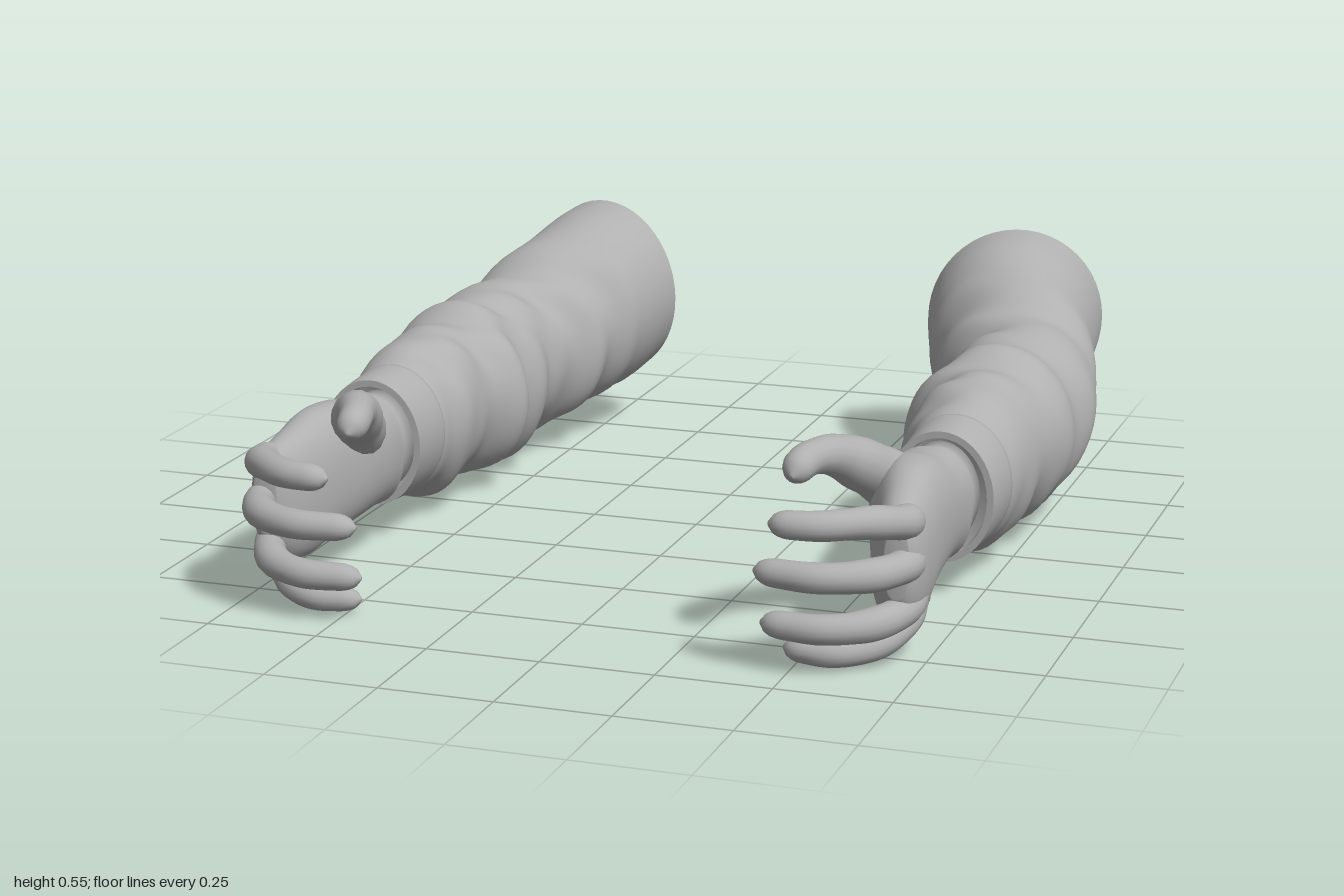
import * as THREE from 'three';

const V = (x, y, z) => new THREE.Vector3(x, y, z);
const grey = new THREE.MeshStandardMaterial({ color: 0xb0b0b0 });
grey.name = 'grey';

// Skin closed rings of points into one smooth, capped surface.
// A ring listed twice makes a sharp edge.
function loft(rings) {
  const n = rings[0].length, pos = [], idx = [];
  rings.forEach(r => r.forEach(p => pos.push(p.x, p.y, p.z)));
  for (let i = 0; i < rings.length - 1; i++) {
    for (let j = 0; j < n; j++) {
      const k = (j + 1) % n, a = i * n + j, b = i * n + k;
      idx.push(a, b, a + n, b, b + n, a + n);
    }
  }
  const cap = (row, flip) => {
    const c = V(0, 0, 0);
    rings[row].forEach(p => c.addScaledVector(p, 1 / n));
    const ci = pos.length / 3;
    pos.push(c.x, c.y, c.z);
    for (let j = 0; j < n; j++) {
      const a = row * n + j, b = row * n + (j + 1) % n;
      idx.push(ci, flip ? b : a, flip ? a : b);
    }
  };
  cap(0, true);
  cap(rings.length - 1, false);
  const g = new THREE.BufferGeometry();
  g.setAttribute('position', new THREE.Float32BufferAttribute(pos, 3));
  g.setIndex(idx);
  g.computeVertexNormals();
  return g;
}

// Rounded ring from its limits; power below 1 squares it off
function ring(z, x0, x1, y0, y1, n = 40, power = 1) {
  const cx = (x0 + x1) / 2, cy = (y0 + y1) / 2;
  const s = v => Math.sign(v) * Math.abs(v) ** power;
  return Array.from({ length: n }, (_, j) => {
    const a = j / n * Math.PI * 2;
    return V(cx + s(Math.cos(a)) * (x1 - x0) / 2, cy + s(Math.sin(a)) * (y1 - y0) / 2, z);
  });
}

// Smoothly resample rows of [z, x0, x1, y0, y1]
function resample(rows, count) {
  const curve = (a, b) => new THREE.CatmullRomCurve3(rows.map(r => V(r[a], r[b], r[0])), false, 'catmullrom', 0.5);
  const cx = curve(1, 2), cy = curve(3, 4);
  return Array.from({ length: count + 1 }, (_, i) => {
    const p = cx.getPoint(i / count), q = cy.getPoint(i / count);
    return [p.z, p.x, p.y, q.x, q.y];
  });
}

// Sleeve with a slanted, domed shoulder end and diagonal cloth folds
function sleeveGeometry() {
  const rows = [
    [-0.88, 0.33, 0.735, 0.11, 0.555], [-0.79, 0.35, 0.745, 0.09, 0.545],
    [-0.70, 0.37, 0.76, 0.085, 0.52], [-0.61, 0.395, 0.795, 0.07, 0.49],
    [-0.53, 0.42, 0.815, 0.055, 0.445], [-0.46, 0.465, 0.832, 0.045, 0.435],
    [-0.38, 0.477, 0.845, 0.04, 0.43], [-0.27, 0.487, 0.828, 0.022, 0.425],
    [-0.18, 0.48, 0.838, 0.03, 0.435], [-0.09, 0.472, 0.828, 0.04, 0.412],
    [0, 0.507, 0.812, 0.05, 0.415], [0.10, 0.515, 0.808, 0.045, 0.408],
    [0.17, 0.53, 0.795, 0.06, 0.385], [0.21, 0.545, 0.785, 0.08, 0.37],
  ];
  const body = resample(rows, 90).map(r => {
    const [z, x0, x1, y0, y1] = r;
    const cx = (x0 + x1) / 2, cy = (y0 + y1) / 2;
    const slant = 1 - THREE.MathUtils.smoothstep(z, -0.88, -0.58);
    const fade = THREE.MathUtils.smoothstep(z, -0.75, -0.5) * (1 - THREE.MathUtils.smoothstep(z, 0.12, 0.2));
    return ring(z, x0, x1, y0, y1, 48).map((p, j) => {
      const a = j / 48 * Math.PI * 2;
      const inner = 0.55 - 0.45 * Math.cos(a - 0.5);
      const wave = Math.sin(34 * z + 1.9 * Math.sin(a + 0.6) + 0.8 * Math.sin(2 * a));
      const cross = Math.sin(47 * z - 2.4 * Math.cos(a - 0.9) + Math.sin(3 * a));
      const d = fade * inner * (0.011 * wave + 0.007 * cross - 0.004);
      p.x += Math.cos(a) * d;
      p.y += Math.sin(a) * d;
      p.z -= slant * (0.35 * (p.x - cx) + 0.05 * (cy - p.y));
      return p;
    });
  });
  const rim = body[0], mid = V(0.5325, 0.3325, -0.88);
  const dome = [0.2, 0.4, 0.6, 0.78, 0.92, 1].map(s => rim.map(p => {
    const q = mid.clone().lerp(p, s);
    q.z -= 0.065 * (1 - s * s);
    return q;
  }));
  return loft([...dome, ...body]);
}

// Cuff with a turned-in opening
function cuffGeometry() {
  const end = ring(0.33, 0.545, 0.782, 0.08, 0.372);
  const lip = ring(0.33, 0.56, 0.767, 0.095, 0.357);
  return loft([
    ring(0.18, 0.55, 0.78, 0.09, 0.365), ring(0.195, 0.54, 0.79, 0.076, 0.376),
    ring(0.21, 0.538, 0.79, 0.075, 0.377), ring(0.27, 0.542, 0.787, 0.076, 0.375),
    end, end, lip, lip, ring(0.30, 0.565, 0.762, 0.1, 0.352),
  ]);
}

// Palm with a thin rim at the wrist
function palmGeometry() {
  const rows = [
    [0.392, 0.558, 0.752, 0.1, 0.356], [0.46, 0.555, 0.75, 0.108, 0.362],
    [0.54, 0.565, 0.75, 0.1, 0.38], [0.62, 0.59, 0.75, 0.085, 0.38],
    [0.69, 0.612, 0.751, 0.065, 0.36], [0.75, 0.63, 0.75, 0.075, 0.343],
    [0.79, 0.655, 0.74, 0.11, 0.325], [0.81, 0.675, 0.725, 0.15, 0.30],
  ];
  const rings = resample(rows, 36).map(r => ring(...r, 36, 0.88));
  return loft([rings[0], ...rings]);
}

// Tapered finger with a round tip and faint joints
function fingerGeometry(points, radii) {
  const curve = new THREE.CatmullRomCurve3(points.map(p => V(...p)));
  const N = 36, n = 16, tip = 0.11;
  const frames = curve.computeFrenetFrames(N, false);
  const rings = [];
  for (let i = 0; i <= N; i++) {
    const t = i / N, c = curve.getPointAt(t);
    const f = t * (radii.length - 1), k = Math.min(Math.floor(f), radii.length - 2);
    let r = THREE.MathUtils.lerp(radii[k], radii[k + 1], f - k);
    r *= 1 + 0.05 * Math.cos((t - 0.45) * Math.PI * 7) * (1 - t);
    if (t > 1 - tip) r *= Math.sqrt(Math.max(0.02, 1 - ((t - 1 + tip) / tip) ** 2));
    rings.push(Array.from({ length: n }, (_, j) => {
      const a = j / n * Math.PI * 2;
      return c.clone().addScaledVector(frames.normals[i], Math.cos(a) * r)
        .addScaledVector(frames.binormals[i], Math.sin(a) * r);
    }));
  }
  return loft(rings);
}

// Mirror in x and turn the faces round again
function mirrored(geometry) {
  const g = geometry.clone().scale(-1, 1, 1), ix = g.index;
  for (let i = 0; i < ix.count; i += 3) {
    const b = ix.getX(i + 1);
    ix.setX(i + 1, ix.getX(i + 2));
    ix.setX(i + 2, b);
  }
  g.computeVertexNormals();
  return g;
}

export function createModel() {
  const slim = [0.036, 0.036, 0.034, 0.031, 0.029];
  const parts = {
    sleeve: sleeveGeometry(),
    cuff: cuffGeometry(),
    wrist: loft([0.29, 0.35, 0.42].map(z => ring(z, 0.57, 0.744, 0.112, 0.343))),
    palm: palmGeometry(),
    thumb: fingerGeometry([[0.63, 0.28, 0.48], [0.575, 0.36, 0.6], [0.525, 0.412, 0.71],
      [0.497, 0.415, 0.78], [0.487, 0.396, 0.842]], [0.06, 0.062, 0.052, 0.037, 0.034]),
    indexFinger: fingerGeometry([[0.695, 0.29, 0.7], [0.708, 0.308, 0.79], [0.66, 0.332, 0.89],
      [0.575, 0.336, 0.957], [0.478, 0.336, 0.968]], slim),
    middleFinger: fingerGeometry([[0.7, 0.215, 0.7], [0.713, 0.22, 0.8], [0.672, 0.222, 0.885],
      [0.575, 0.222, 0.938], [0.435, 0.222, 0.927]], slim),
    ringFinger: fingerGeometry([[0.7, 0.15, 0.67], [0.708, 0.12, 0.765], [0.665, 0.107, 0.85],
      [0.575, 0.102, 0.902], [0.44, 0.102, 0.895]], slim),
    littleFinger: fingerGeometry([[0.695, 0.105, 0.63], [0.692, 0.067, 0.73], [0.645, 0.04, 0.805],
      [0.575, 0.03, 0.84], [0.47, 0.032, 0.832]], slim.map(r => r * 0.9)),
  };
  const model = new THREE.Group();
  model.name = 'armPair';
  for (const side of ['left', 'right']) {
    const arm = new THREE.Group();
    arm.name = side + 'Arm';
    for (const [name, g] of Object.entries(parts)) {
      const mesh = new THREE.Mesh(side === 'left' ? g : mirrored(g), grey);
      mesh.name = name;
      arm.add(mesh);
    }
    model.add(arm);
  }
  return model;
}
